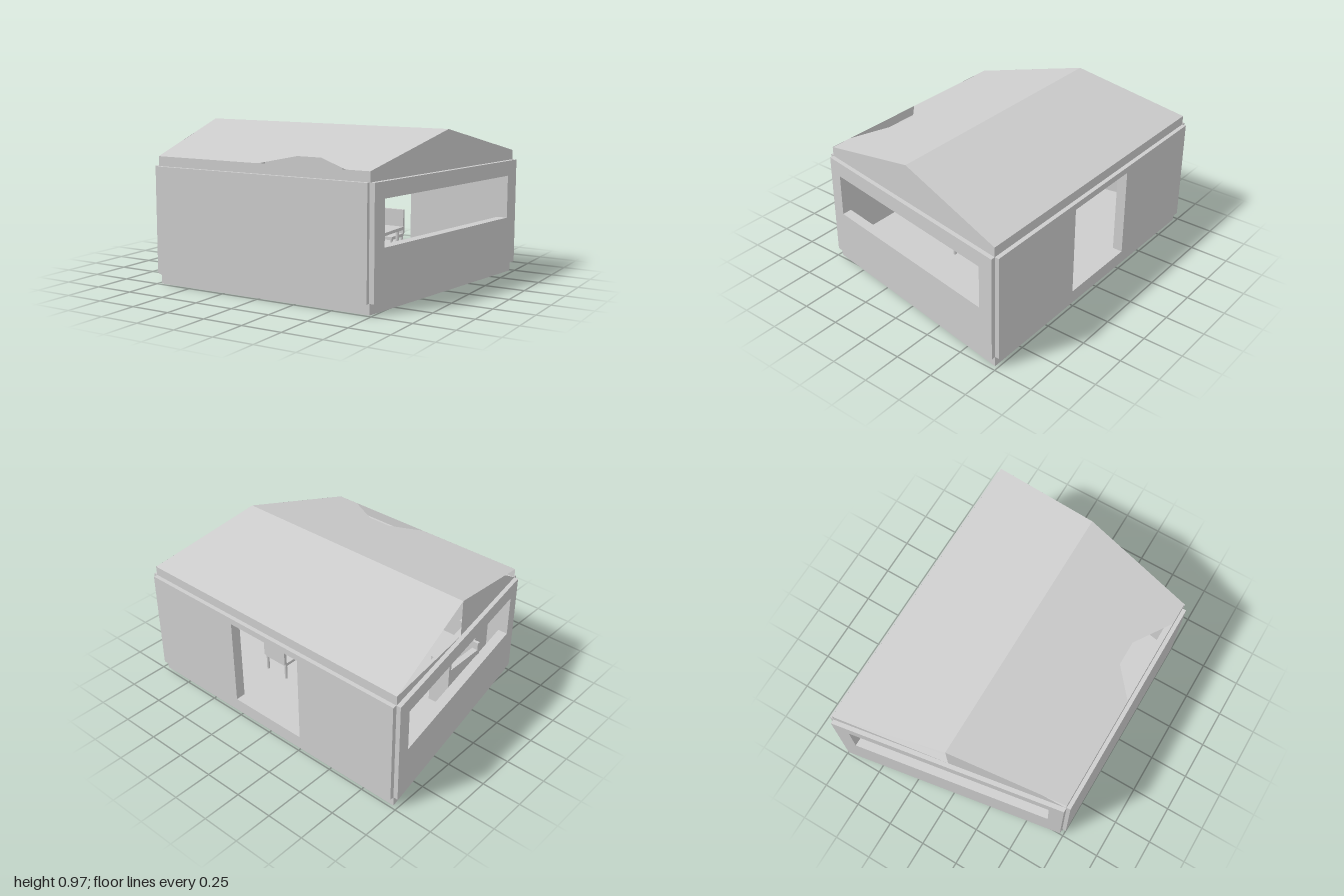
import * as THREE from 'three';

const plaster = new THREE.MeshStandardMaterial({ color: 0xcccccc, side: THREE.DoubleSide });
plaster.name = 'plaster grey';

const sideX = (z) => 0.85 - 0.166 * z; // tapering side plane
const roofY = (z) => 0.97 - 0.247 * Math.abs(z);

const shapeOf = (pts) => new THREE.Shape(pts.map(([a, b]) => new THREE.Vector2(a, b)));
const rect = (x0, y0, x1, y1) => [[x0, y0], [x1, y0], [x1, y1], [x0, y1]];

function add(parent, name, geometry, x = 0, y = 0, z = 0) {
  const mesh = new THREE.Mesh(geometry, plaster);
  mesh.name = name;
  mesh.position.set(x, y, z);
  parent.add(mesh);
  return mesh;
}

// Box given by its min and max corners
function block(parent, name, x0, y0, z0, x1, y1, z1) {
  return add(parent, name, new THREE.BoxGeometry(x1 - x0, y1 - y0, z1 - z0),
    (x0 + x1) / 2, (y0 + y1) / 2, (z0 + z1) / 2);
}

// Move every vertex by a rule, then recompute the flat normals
function warp(geometry, rule) {
  const p = geometry.attributes.position;
  for (let i = 0; i < p.count; i++) p.setXYZ(i, ...rule(p.getX(i), p.getY(i), p.getZ(i)));
  geometry.computeVertexNormals();
  return geometry;
}

const sheet = (pts, rule) => warp(new THREE.ShapeGeometry(shapeOf(pts)), rule);

function slab(pts, hole, depth) {
  const shape = shapeOf(pts);
  if (hole) shape.holes.push(new THREE.Path(hole.map(([a, b]) => new THREE.Vector2(a, b))));
  return new THREE.ExtrudeGeometry(shape, { depth, bevelEnabled: false });
}

// Trapezoid plate lying flat, inset from the side planes
function plate(inset, zEnd, y0, y1) {
  const f = sideX(zEnd) - inset, b = sideX(-zEnd) - inset;
  return warp(slab([[-f, -zEnd], [f, -zEnd], [b, zEnd], [-b, zEnd]], null, y1 - y0),
    (a, c, d) => [a, y0 + d, -c]);
}

function buildShell(house) {
  add(house, 'base', plate(0, 0.73, 0, 0.065));
  add(house, 'floor', plate(0.03, 0.7, 0.065, 0.12));
  add(house, 'frontWall', slab(rect(-0.725, 0.065, 0.725, 0.73), null, 0.065), 0, 0, 0.69);
  add(house, 'backWall', slab(rect(-0.97, 0.065, 0.97, 0.73),
    rect(-0.27, 0.12, 0.27, 0.69), 0.065), 0, 0, -0.757);

  // Side walls with a long window, sheared along the taper
  for (const s of [1, -1]) {
    const g = slab(rect(-0.73, 0.065, 0.73, 0.73), rect(-0.63, 0.365, 0.64, 0.635), 0.065);
    const wall = add(house, s > 0 ? 'leftWall' : 'rightWall',
      warp(g, (u, y, w) => [sideX(u) + 0.028 - w, y, u]));
    wall.scale.x = s;
  }
}

function buildRoof(house) {
  const roof = new THREE.Group();
  roof.name = 'roof';
  house.add(roof);
  const f = sideX(0.73), m = sideX(0), b = sideX(-0.73);
  const slope = (x, c) => [x, roofY(c), -c];

  // Front slope has an opening at the eave
  add(roof, 'frontSlope', sheet([[-f, -0.73], [0, -0.73], [0.17, -0.58], [0.33, -0.58],
    [0.58, -0.73], [f, -0.73], [m, 0], [-m, 0]], slope));
  add(roof, 'backSlope', sheet([[-m, 0], [m, 0], [b, 0.73], [-b, 0.73]], slope));
  add(roof, 'frontFascia', sheet(rect(-f, 0.73, f, 0.79), (x, y) => [x, y, 0.73]));
  add(roof, 'backFascia', sheet(rect(-b, 0.73, b, 0.79), (x, y) => [-x, y, -0.73]));

  // Gables; the right one is partly open
  const gable = (a, y) => [sideX(-a), y, -a];
  add(roof, 'leftGable', sheet([[-0.73, 0.73], [0.73, 0.73], [0.73, 0.79], [0, 0.97],
    [-0.73, 0.79]], gable));
  const front = sheet([[-0.73, 0.73], [0, 0.73], [0, 0.97], [-0.58, 0.827]], gable);
  const back = sheet([[0, 0.73], [0.73, 0.73], [0.73, 0.79]], gable);
  add(roof, 'rightGableFront', front).scale.x = -1;
  add(roof, 'rightGableBack', back).scale.x = -1;
}

// Chair with its back at -z
function buildChair(x, z, turn) {
  const chair = new THREE.Group();
  chair.name = 'chair';
  block(chair, 'seat', -0.09, 0.1, 0, 0.09, 0.12, 0.17);
  block(chair, 'backrest', -0.09, 0.12, -0.01, 0.09, 0.275, 0.01);
  for (const lx of [-0.08, 0.08]) for (const lz of [0.01, 0.155])
    add(chair, 'chairLeg', new THREE.CylinderGeometry(0.009, 0.009, 0.1, 8), lx, 0.05, lz);
  chair.position.set(x, 0.12, z);
  chair.rotation.y = turn;
  return chair;
}

function buildFurniture(house) {
  // Dining table and four chairs
  block(house, 'tableTop', -0.21, 0.29, -0.27, 0.43, 0.31, 0.08);
  for (const x of [-0.18, 0.4]) for (const z of [-0.24, 0.05])
    add(house, 'tableLeg', new THREE.CylinderGeometry(0.011, 0.011, 0.17, 8), x, 0.205, z);
  for (const x of [-0.05, 0.27])
    house.add(buildChair(x, -0.41, 0), buildChair(x, 0.22, Math.PI));

  // Table lamp
  add(house, 'lampFoot', new THREE.CylinderGeometry(0.035, 0.04, 0.012, 16), 0.27, 0.316, -0.095);
  add(house, 'lampStem', new THREE.CylinderGeometry(0.005, 0.005, 0.13, 8), 0.27, 0.375, -0.095);
  add(house, 'lampShade', new THREE.CylinderGeometry(0.03, 0.06, 0.032, 12, 1, true), 0.27, 0.445, -0.095);

  // Sofa along the right wall
  block(house, 'sofaSeat', -0.76, 0.2, 0.06, -0.62, 0.27, 0.33);
  block(house, 'sofaBack', -0.76, 0.27, 0.06, -0.72, 0.4, 0.33);
  for (const z of [0.04, 0.33])
    block(house, 'sofaArm', -0.76, 0.12, z, -0.62, 0.45, z + 0.02);

  // Cabinet in the front corner
  block(house, 'cabinet', -0.68, 0.12, 0.42, -0.55, 0.48, 0.55);
}

export function createModel() {
  const house = new THREE.Group();
  house.name = 'house';
  buildShell(house);
  buildRoof(house);
  buildFurniture(house);
  return house;
}
